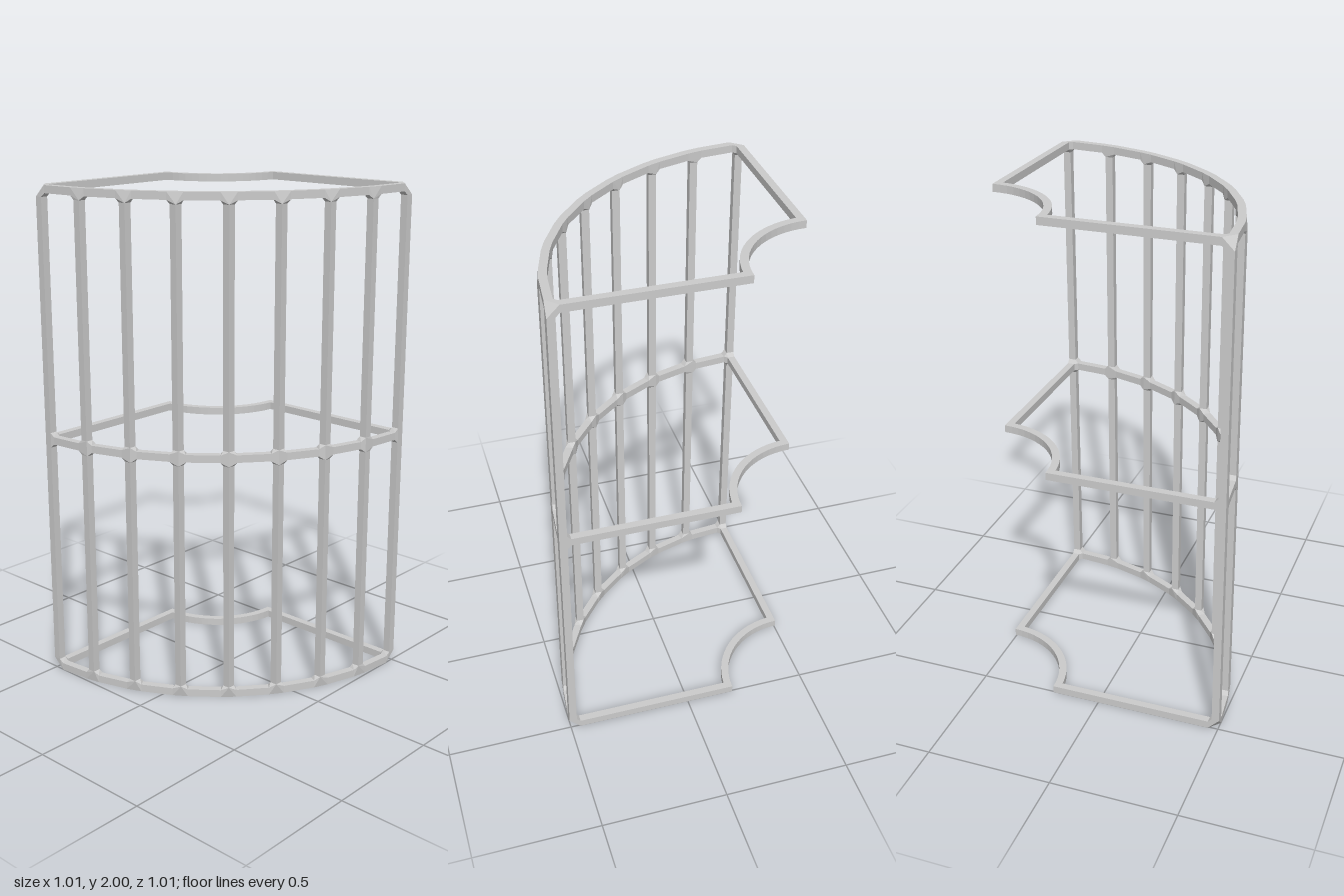
import * as THREE from 'three';
import { ConvexGeometry } from 'three/addons/geometries/ConvexGeometry.js';

const H = 0.015;            // half thickness of every bar
const TRIM = 0.03;          // distance from a joint centre to each bar end
const LEVELS = [H, 1, 2 - H];
const BAYS = 8;
const UP = new THREE.Vector3(0, 1, 0);
const X = new THREE.Vector3(1, 0, 0);
const Z = new THREE.Vector3(0, 0, 1);

// Four corners of a square bar section at distance TRIM from p along dir
function section(p, dir) {
  const vertical = Math.abs(dir.y) > 0.5;
  const u = vertical ? X : UP;
  const v = vertical ? Z : new THREE.Vector3().crossVectors(dir, UP).normalize();
  const centre = p.clone().addScaledVector(dir, TRIM);
  return [[-1, -1], [1, -1], [1, 1], [-1, 1]].map(([a, b]) =>
    centre.clone().addScaledVector(u, a * H).addScaledVector(v, b * H));
}

// Rim of the two straight sides and the concave cut-out, open at the joints
function rimGeometry() {
  const e = 0.49 + H, i = 0.49 - H, end = 0.49 - TRIM;
  const pts = [new THREE.Vector2(-end, -e)];
  const arc = (r, from, to) => {
    for (let k = 0; k <= 16; k++) {
      const a = from + (to - from) * k / 16;
      pts.push(new THREE.Vector2(e + r * Math.cos(a), -e + r * Math.sin(a)));
    }
  };
  arc(0.31, Math.PI, Math.PI / 2);
  pts.push(new THREE.Vector2(e, end), new THREE.Vector2(i, end));
  const inset = Math.asin(2 * H / 0.34);
  arc(0.34, Math.PI / 2 + inset, Math.PI - inset);
  pts.push(new THREE.Vector2(-end, -i));
  const geo = new THREE.ExtrudeGeometry(new THREE.Shape(pts), { depth: 2 * H, bevelEnabled: false });
  return geo.rotateX(Math.PI / 2).translate(0, H, 0);
}

export function createModel() {
  const model = new THREE.Group();
  const mat = new THREE.MeshStandardMaterial({ color: 0xcccccc, flatShading: true });
  const add = (geo, name) => {
    const mesh = new THREE.Mesh(geo, mat);
    mesh.name = name;
    model.add(mesh);
    return mesh;
  };
  const bar = (p, q, name) => {
    const d = q.clone().sub(p).normalize();
    add(new ConvexGeometry([...section(p, d), ...section(q, d.clone().negate())]), name);
  };

  // Joint centre: column k along the quarter circle, at height y
  const node = (k, y) => {
    const a = Math.PI / 2 * k / BAYS;
    return new THREE.Vector3(0.49 - 0.98 * Math.cos(a), y, -0.49 + 0.98 * Math.sin(a));
  };

  const rim = rimGeometry();
  LEVELS.forEach((y, level) => {
    add(rim, 'shelfRim').position.y = y;

    for (let k = 0; k <= BAYS; k++) {
      const p = node(k, y);
      const dirs = [];
      // Neighbours along the curve, or the straight side at the end corners
      dirs.push(k > 0 ? node(k - 1, y).sub(p).normalize() : X.clone());
      dirs.push(k < BAYS ? node(k + 1, y).sub(p).normalize() : Z.clone().negate());
      if (level > 0) dirs.push(UP.clone().negate());
      if (level < LEVELS.length - 1) dirs.push(UP.clone());

      // Faceted joint wrapping all the bar ends that meet here
      add(new ConvexGeometry(dirs.flatMap(d => section(p, d))), 'joint');

      if (k < BAYS) bar(p, node(k + 1, y), 'curvedRail');
      if (level < LEVELS.length - 1) bar(p, node(k, LEVELS[level + 1]), 'post');
    }
  });
  return model;
}
